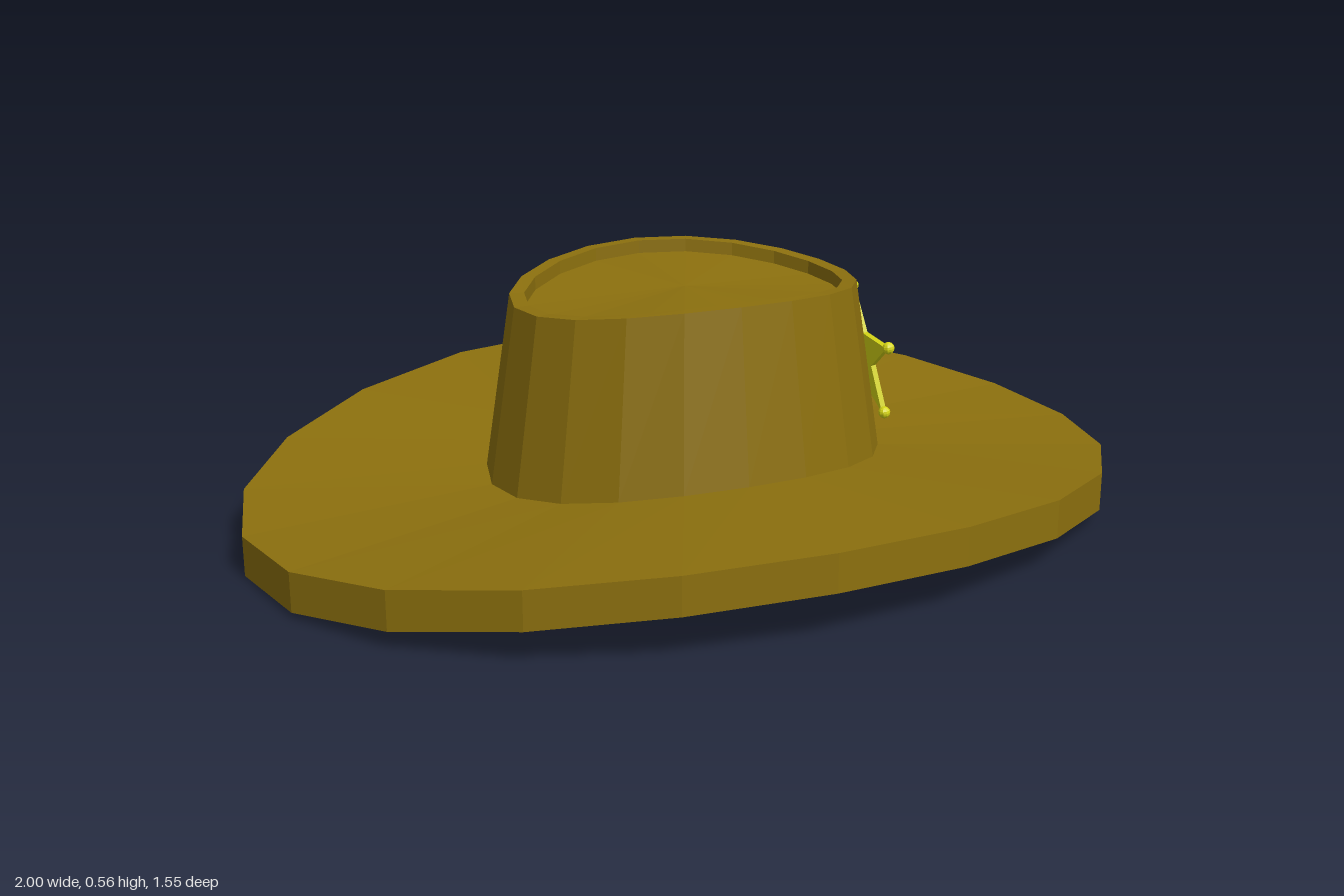
import * as THREE from 'three';

const SIDES = 20;
const felt = new THREE.MeshStandardMaterial({ color: 0x8c700e, flatShading: true });
const metal = new THREE.MeshStandardMaterial({ color: 0xd6d615, flatShading: true });

// Elliptical rings [radiusX, radiusZ, height at the middle, drop at the sides],
// joined in order; the drop bends every ring down towards +x and -x.
function ringSurface(name, rings) {
  const pos = [];
  const point = ([rx, rz, y, drop], j) => {
    const a = (j / SIDES) * Math.PI * 2;
    return [rx * Math.cos(a), y - drop * Math.cos(a) ** 2, rz * Math.sin(a)];
  };
  for (let i = 0; i < rings.length - 1; i++) {
    const [lo, hi] = [rings[i], rings[i + 1]];
    for (let j = 0; j < SIDES; j++) {
      const a = point(lo, j), b = point(lo, j + 1), c = point(hi, j), d = point(hi, j + 1);
      if (lo[0] > 0) pos.push(...a, ...c, ...b);
      if (hi[0] > 0) pos.push(...b, ...c, ...d);
    }
  }
  const geo = new THREE.BufferGeometry();
  geo.setAttribute('position', new THREE.Float32BufferAttribute(pos, 3));
  geo.computeVertexNormals();
  const mesh = new THREE.Mesh(geo, felt);
  mesh.name = name;
  return mesh;
}

// Five-pointed badge with a small ball on each tip
function createBadge() {
  const badge = new THREE.Group();
  badge.name = 'starBadge';
  const outer = 0.158, inner = 0.066, thick = 0.012;
  const shape = new THREE.Shape();
  for (let i = 0; i < 10; i++) {
    const a = Math.PI / 2 + (i * Math.PI) / 5;
    const r = i % 2 ? inner : outer;
    const x = r * Math.cos(a), y = r * Math.sin(a);
    if (i) shape.lineTo(x, y);
    else shape.moveTo(x, y);
    if (i % 2 === 0) {
      const ball = new THREE.Mesh(new THREE.SphereGeometry(0.014, 10, 8), metal);
      ball.name = 'badgeTip';
      ball.position.set(x, y, 0);
      badge.add(ball);
    }
  }
  shape.closePath();
  const geo = new THREE.ExtrudeGeometry(shape, { depth: thick, bevelEnabled: false });
  geo.translate(0, 0, -thick / 2);
  const plate = new THREE.Mesh(geo, metal);
  plate.name = 'badgePlate';
  badge.add(plate);
  // lean back against the sloping crown wall, facing +x
  badge.rotation.set(-0.15, Math.PI / 2, 0, 'YXZ');
  badge.position.set(0.437, 0.325, 0);
  return badge;
}

export function createModel() {
  const hat = new THREE.Group();
  hat.name = 'hat';

  const opening = [0.455, 0.355, 0.095, 0.055];
  const crownBase = [0.455, 0.355, 0.18, 0.055];

  hat.add(
    // thick curved brim
    ringSurface('brim', [opening, [1, 0.775, 0.115, 0.115], [1, 0.775, 0.2, 0.11], crownBase]),
    // tapered crown with a narrow lip and a sunken top
    ringSurface('crown', [
      crownBase,
      [0.393, 0.307, 0.56, 0.04],
      [0.36, 0.28, 0.56, 0.04],
      [0.36, 0.28, 0.53, 0.04],
      [0, 0, 0.525, 0],
    ]),
    // hollow for the head
    ringSurface('headOpening', [[0, 0, 0.34, 0], [0.385, 0.3, 0.345, 0.04], opening]),
    createBadge(),
  );
  return hat;
}
